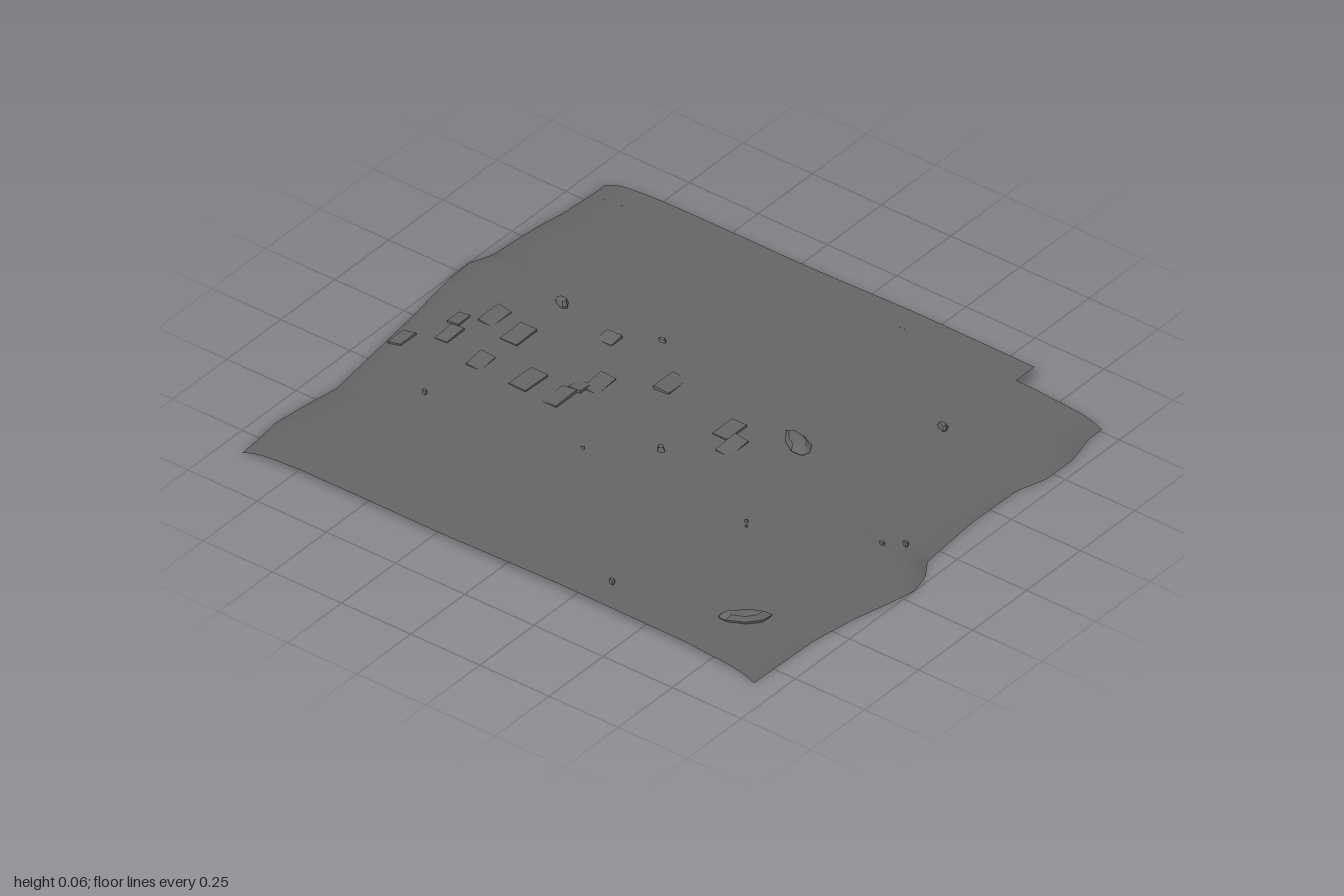
import * as THREE from 'three';
import { ConvexGeometry } from 'three/addons/geometries/ConvexGeometry.js';

// Wavy side edges of the ground, as [z, x]
const LEFT = [[-0.845, -0.93], [-0.77, -0.932], [-0.66, -0.94], [-0.57, -0.955], [-0.47, -0.965], [-0.38, -0.97],
  [-0.3, -1], [-0.2, -0.995], [-0.1, -0.98], [0, -0.965], [0.1, -0.953], [0.25, -0.935], [0.42, -0.915],
  [0.55, -0.935], [0.66, -0.947], [0.75, -0.937], [0.84, -0.93]];
const RIGHT = [[-0.845, 0.93], [-0.7, 0.93], [-0.59, 0.957], [-0.47, 0.957], [-0.37, 0.925], [-0.17, 0.922],
  [0.06, 0.94], [0.13, 0.985], [0.2, 1], [0.3, 0.98], [0.42, 0.95], [0.57, 0.927], [0.84, 0.92]];
// Height across the ground: crown, then fall near the edges, as [distance, y]
const CROWN = [[-1, 0.041], [-0.5, 0.041], [-0.2, 0.04], [0.2, 0.049], [0.5, 0.046], [1, 0.042]];
const FALL = [[0, 0.008], [0.025, 0.019], [0.06, 0.029], [0.12, 0.036], [0.2, 0.04], [0.35, 0.06]];

function lerpTable(table, t) {
  for (let i = 1; i < table.length; i++) {
    const [a, va] = table[i - 1], [b, vb] = table[i];
    if (t <= b) return va + (vb - va) * Math.max(0, (t - a) / (b - a));
  }
  return table[table.length - 1][1];
}

function heightAt(x, z) {
  const edge = Math.max(0, Math.min(x - lerpTable(LEFT, z), lerpTable(RIGHT, z) - x));
  return Math.min(lerpTable(CROWN, x), lerpTable(FALL, edge));
}

// Sheet of ground between two z values, optionally cut off at a right limit
function sheet(z0, z1, rows, limit = Infinity) {
  const cols = 64;
  const geo = new THREE.PlaneGeometry(1, 1, cols, rows);
  const p = geo.attributes.position;
  for (let i = 0; i < p.count; i++) {
    const u = (i % (cols + 1)) / cols, v = Math.floor(i / (cols + 1)) / rows;
    const z = z0 + (z1 - z0) * v;
    const s = 0.5 - 0.5 * Math.cos(Math.PI * u); // finer columns at the edges
    const l = lerpTable(LEFT, z), r = Math.min(limit, lerpTable(RIGHT, z));
    const x = l + (r - l) * s;
    p.setXYZ(i, x, heightAt(x, z), z);
  }
  geo.computeVertexNormals();
  return geo;
}

// Faceted rock from a plan outline: narrow base, wide waist, smaller top
function rock(outline, cx, cz, low, high) {
  const pts = [];
  for (const [scale, y] of [[0.8, low], [1, low + (high - low) * 0.55], [0.68, high]]) {
    outline.forEach(([x, z], i) => pts.push(new THREE.Vector3(
      cx + x * scale, y - (i % 3) * 0.0015, cz + z * scale)));
  }
  return new ConvexGeometry(pts);
}

export function createModel() {
  const model = new THREE.Group();
  const ground = new THREE.MeshStandardMaterial({ color: 0x666666, side: THREE.DoubleSide });
  ground.name = 'stone grey';

  const add = (name, geo, parent = model) => {
    const mesh = new THREE.Mesh(geo, ground);
    mesh.name = name;
    parent.add(mesh);
    return mesh;
  };
  const group = (name) => {
    const g = new THREE.Group();
    g.name = name;
    model.add(g);
    return g;
  };

  // Ground, with a notch in the back left corner
  add('ground', sheet(-0.76, 0.84, 80));
  add('groundBackStrip', sheet(-0.845, -0.76, 4, 0.62));

  // Flat paving slabs sunk into the ground: x, z, width, depth, tilt about x, tilt about z
  const slabs = group('pavingSlabs');
  [
    [-0.905, 0.13, 0.05, 0.07, 0.04, 0.25], [-0.8, 0.045, 0.045, 0.08, 0.06, 0.08],
    [-0.825, -0.03, 0.04, 0.06, -0.05, 0.1], [-0.75, -0.1, 0.05, 0.09, 0.05, -0.12],
    [-0.64, -0.07, 0.06, 0.095, 0.03, 0.03], [-0.645, 0.1, 0.05, 0.075, 0.06, -0.14],
    [-0.48, 0.09, 0.062, 0.1, 0.02, 0.02], [-0.36, 0.1, 0.052, 0.095, 0.04, 0.12],
    [-0.31, -0.02, 0.052, 0.09, 0.06, -0.12], [-0.345, 0.025, 0.045, 0.05, -0.08, 0.1],
    [-0.425, -0.215, 0.055, 0.05, 0.16, 0.05], [-0.15, -0.145, 0.055, 0.095, -0.06, -0.1],
    [0.13, -0.06, 0.055, 0.088, 0.04, 0.05], [0.185, 0, 0.05, 0.09, 0.08, -0.14],
  ].forEach(([x, z, w, d, rx, rz], i) => {
    const slab = add('slab', new THREE.BoxGeometry(w, 0.012, d), slabs);
    slab.position.set(x, heightAt(x, z) - 0.001, z);
    slab.rotation.set(rx, (i % 3 - 1) * 0.04, rz);
  });

  // Two large flat rocks
  add('largeRockBack', rock([[-0.06, -0.03], [-0.045, -0.045], [0, -0.04], [0.045, -0.015],
    [0.06, 0.015], [0.05, 0.038], [0.015, 0.042], [-0.03, 0.012]], 0.32, -0.125, 0.035, 0.066));
  add('largeRockFront', rock([[-0.06, 0.03], [-0.03, -0.005], [0.01, -0.045], [0.06, -0.06],
    [0.055, -0.025], [0.02, 0.015], [-0.03, 0.045], [-0.055, 0.045]], 0.73, 0.645, 0.032, 0.064));

  // Scattered pebbles: x, z, radius, height above the ground
  const pebbles = group('pebbles');
  [
    [0.6, -0.445, 0.021, 0.018], [-0.635, -0.265, 0.026, 0.023], [-0.3, -0.3, 0.016, 0.01],
    [0.035, 0.135, 0.018, 0.016], [-0.675, 0.32, 0.013, 0.012], [0.33, 0.74, 0.014, 0.014],
    [0.86, 0.06, 0.013, 0.013], [0.81, 0.105, 0.011, 0.009], [-0.15, 0.26, 0.008, 0.006],
    [0.445, 0.265, 0.009, 0.007], [0.46, 0.285, 0.007, 0.006],
  ].forEach(([x, z, r, h], k) => {
    const outline = [];
    for (let i = 0; i < 7; i++) {
      const a = i / 7 * Math.PI * 2, s = r * (0.85 + 0.15 * Math.sin(i * 2.3 + k));
      outline.push([s * Math.cos(a), s * 0.75 * Math.sin(a) + s * 0.3 * Math.cos(a)]);
    }
    const y = heightAt(x, z);
    add('pebble', rock(outline, x, z, y - Math.min(0.01, r * 0.6), y + h), pebbles);
  });

  return model;
}
